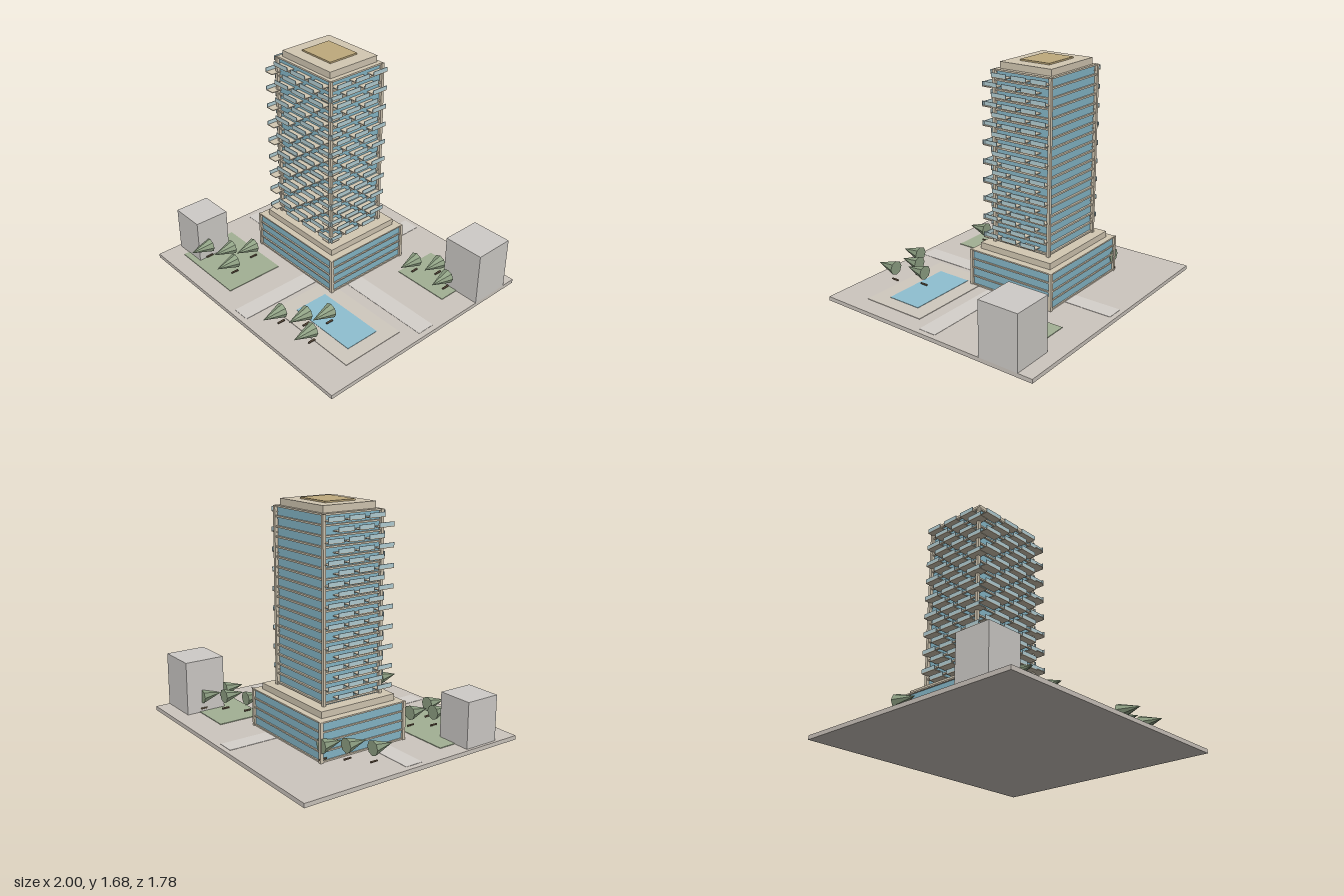
import * as THREE from 'three';

const mat = (color) => new THREE.MeshStandardMaterial({ color, flatShading: true });
const M = {
  ground: mat(0xcdc6be), path: mat(0xd5d1cc), plaza: mat(0xd0c9bf), lawn: mat(0xa2b094),
  water: mat(0x8fc0d1), block: mat(0xcfccc8), stone: mat(0xd3c8b3), glass: mat(0x86b8c9),
  rail: mat(0xb4d0d6), roof: mat(0xbfaa7c), leaf: mat(0x8fa184), trunk: mat(0x6e5c48),
};

// Box given by its extents on each axis
function box(parent, name, [x0, x1], [y0, y1], [z0, z1], material) {
  const mesh = new THREE.Mesh(new THREE.BoxGeometry(x1 - x0, y1 - y0, z1 - z0), material);
  mesh.position.set((x0 + x1) / 2, (y0 + y1) / 2, (z0 + z1) / 2);
  mesh.name = name;
  parent.add(mesh);
  return mesh;
}

function subgroup(parent, name) {
  const g = new THREE.Group();
  g.name = name;
  parent.add(g);
  return g;
}

// Square posts on the four corners of a rectangle
function cornerPosts(parent, name, [x0, x1], y, [z0, z1], w) {
  for (const x of [x0, x1 - w])
    for (const z of [z0, z1 - w]) box(parent, name, [x, x + w], y, [z, z + w], M.stone);
}

function addSite(root) {
  const g = subgroup(root, 'site');
  box(g, 'groundPlate', [-1, 1], [0, 0.03], [-0.89, 0.89], M.ground);
  box(g, 'crossPath', [-0.96, 0.96], [0.028, 0.032], [-0.075, 0.062], M.path);
  box(g, 'longPath', [-0.07, 0.062], [0.028, 0.0325], [-0.855, 0.85], M.path);
  box(g, 'plaza', [0.105, 0.862], [0.028, 0.034], [0.15, 0.642], M.plaza);
  box(g, 'pool', [0.22, 0.755], [0.03, 0.037], [0.265, 0.53], M.water);
  box(g, 'frontLawn', [-0.865, -0.265], [0.028, 0.035], [0.305, 0.752], M.lawn);
  box(g, 'backLawn', [0.377, 0.815], [0.028, 0.035], [-0.68, -0.325], M.lawn);
  box(g, 'leftNeighbour', [0.69, 1], [0.03, 0.43], [-0.78, -0.475], M.block);
  box(g, 'rightNeighbour', [-0.98, -0.715], [0.03, 0.362], [0.44, 0.705], M.block);
}

function addTrees(root) {
  // x and z of the wide end of each crown
  const spots = [
    [-0.815, -0.238], [-0.682, -0.35], [-0.595, -0.483],
    [-0.472, 0.37], [-0.563, 0.507], [-0.407, 0.593], [-0.695, 0.618],
    [0.486, 0.442], [0.398, 0.577], [0.265, 0.69], [0.555, 0.662],
    [0.465, -0.418], [0.6, -0.525], [0.755, -0.438], [0.692, -0.66],
  ];
  const crown = new THREE.ConeGeometry(0.054, 0.165, 8).rotateX(Math.PI / 2).translate(0, 0.15, 0.0825);
  const trunk = new THREE.CylinderGeometry(0.007, 0.008, 0.055, 6).rotateX(Math.PI / 2).translate(0, 0.056, 0.014);
  for (const [x, z] of spots) {
    const tree = subgroup(root, 'tree');
    tree.position.set(x, 0, z);
    const parts = [['crown', crown, M.leaf], ['trunk', trunk, M.trunk]];
    for (const [name, geometry, material] of parts) {
      const mesh = new THREE.Mesh(geometry, material);
      mesh.name = name;
      tree.add(mesh);
    }
  }
}

function addPodium(root) {
  const g = subgroup(root, 'podium');
  box(g, 'podiumGlass', [-0.587, 0.227], [0.03, 0.298], [-0.477, 0.205], M.glass);
  for (let i = 0; i <= 4; i++) {
    const y = 0.037 + i * 0.0667;
    box(g, 'podiumFloor', [-0.597, 0.237], [y - 0.005, y + 0.005], [-0.487, 0.215], M.stone);
  }
  cornerPosts(g, 'podiumPost', [-0.602, 0.242], [0.03, 0.309], [-0.492, 0.22], 0.022);
  box(g, 'podiumTerrace', [-0.54, 0.182], [0.305, 0.355], [-0.44, 0.167], M.stone);
}

// One balcony: slab, front rail and two short side rails; its own outside is +z
function addBalcony(parent, x, y, z, turn, length) {
  const b = subgroup(parent, 'balcony');
  const h = length / 2;
  b.position.set(x, y, z);
  b.rotation.y = turn;
  box(b, 'balconySlab', [-h, h], [-0.019, -0.013], [-0.02, 0.052], M.stone);
  box(b, 'balconyRail', [-h, h], [-0.013, 0.014], [0.047, 0.052], M.rail);
}

function addTower(root) {
  const g = subgroup(root, 'tower');
  const floors = 18, step = 0.069;
  box(g, 'towerGlass', [-0.45, 0.085], [0.355, 1.61], [-0.355, 0.088], M.glass);
  cornerPosts(g, 'towerPost', [-0.473, 0.108], [0.355, 1.615], [-0.377, 0.11], 0.022);
  for (let i = 0; i <= floors; i++) {
    const y = 0.37 + i * step;
    box(g, 'floorSlab', [-0.465, 0.1], [y - 0.006, y + 0.006], [-0.37, 0.102], M.stone);
  }
  // Balconies on three sides, shifted along the wall on every other floor
  for (let i = 0; i < floors; i++) {
    const y = 0.415 + i * step;
    const shift = i % 2 === 0 ? 1 : 0;
    for (let k = -1; k <= 1; k++) {
      addBalcony(g, -0.179 + k * 0.184 + shift * 0.09, y, 0.1, 0, 0.142);
      const z = -0.139 + k * 0.163 + shift * 0.08;
      addBalcony(g, 0.098, y, z, Math.PI / 2, 0.124);
      addBalcony(g, -0.461, y, z, -Math.PI / 2, 0.124);
    }
  }
  // Roof
  box(g, 'roofCrown', [-0.43, 0.065], [1.61, 1.665], [-0.348, 0.076], M.stone);
  box(g, 'roofCap', [-0.328, -0.038], [1.66, 1.676], [-0.258, -0.015], M.roof);
}

export function createModel() {
  const root = new THREE.Group();
  root.name = 'highRiseSite';
  addSite(root);
  addTrees(root);
  addPodium(root);
  addTower(root);
  return root;
}
